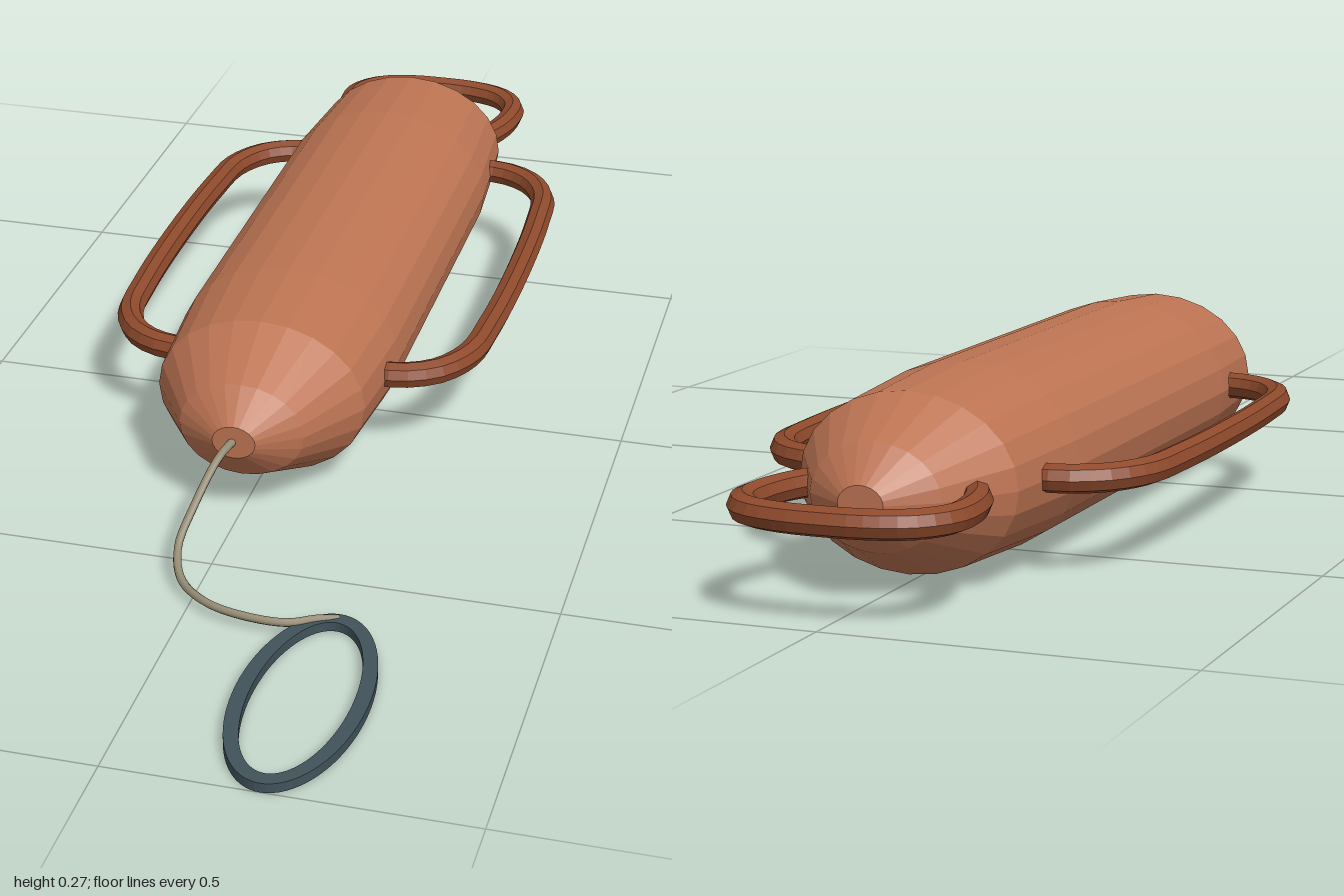
import * as THREE from 'three';

const MID = 0.135; // height of the body axis

const mat = (color, flatShading = true) => new THREE.MeshStandardMaterial({ color, flatShading });

function add(group, name, geometry, material) {
  const mesh = new THREE.Mesh(geometry, material);
  mesh.name = name;
  group.add(mesh);
  return mesh;
}

// smooth tube through points, closed at both ends
function tube(points, radius, segments, sides) {
  const curve = new THREE.CatmullRomCurve3(points.map(p => new THREE.Vector3(...p)));
  return new THREE.TubeGeometry(curve, segments, radius, sides, false);
}

function createBody() {
  // [half width, z] from the rear tip to the front tip
  const profile = [[0, -0.87], [0.032, -0.87], [0.093, -0.825], [0.157, -0.725], [0.17, -0.54],
    [0.17, 0.08], [0.157, 0.24], [0.093, 0.345], [0.032, 0.385], [0, 0.385]];
  const geo = new THREE.LatheGeometry(profile.map(p => new THREE.Vector2(...p)), 24);
  geo.rotateX(Math.PI / 2);
  geo.scale(1, 0.133 / 0.17, 1);
  geo.translate(0, 0.1335, 0);
  // flatten the underside where it rests
  const pos = geo.attributes.position;
  for (let i = 0; i < pos.count; i++) {
    if (pos.getY(i) < 0.006) pos.setY(i, 0.001);
  }
  geo.computeVertexNormals();
  return geo;
}

export function createModel() {
  const model = new THREE.Group();
  model.name = 'rescueBuoy';
  const shell = mat(0xbd7453);
  const grip = mat(0x8f4a2c);
  const cordMat = mat(0x958c74, false);
  const ringMat = mat(0x40535a, false);

  add(model, 'body', createBody(), shell);

  // long grips on both sides
  for (const [name, s] of [['leftHandle', 1], ['rightHandle', -1]]) {
    const pts = [[0.12, 0.125], [0.18, 0.127], [0.232, 0.1], [0.267, 0.04], [0.278, -0.06], [0.283, -0.25],
      [0.278, -0.45], [0.267, -0.55], [0.232, -0.608], [0.18, -0.635], [0.12, -0.633]];
    add(model, name, tube(pts.map(([x, z]) => [s * x, MID, z]), 0.02, 40, 8), grip);
  }

  // loop around the rear tip
  const half = [[0.1, -0.74], [0.132, -0.8], [0.146, -0.86], [0.143, -0.915], [0.112, -0.957], [0.06, -0.976]];
  const loop = [...half, [0, -0.98], ...half.map(([x, z]) => [-x, z]).reverse()];
  add(model, 'rearHandle', tube(loop.map(([x, z]) => [x, MID, z]), 0.02, 36, 8), grip);

  // tow cord falling from the nose to the ring
  add(model, 'cord', tube([[0, 0.135, 0.375], [-0.012, 0.126, 0.42], [-0.03, 0.08, 0.485], [-0.039, 0.042, 0.53],
    [-0.02, 0.021, 0.58], [0.03, 0.018, 0.625], [0.09, 0.017, 0.643], [0.15, 0.016, 0.642],
    [0.185, 0.014, 0.62], [0.213, 0.01, 0.606]], 0.006, 48, 8), cordMat);

  // flat oval ring lying on the ground
  const oval = new THREE.Shape();
  oval.absellipse(0, 0, 0.09, 0.2, 0, Math.PI * 2);
  const hole = new THREE.Path();
  hole.absellipse(0, 0, 0.069, 0.178, 0, Math.PI * 2);
  oval.holes.push(hole);
  const ringGeo = new THREE.ExtrudeGeometry(oval, { depth: 0.014, bevelEnabled: false, curveSegments: 36 });
  ringGeo.rotateX(-Math.PI / 2);
  const ring = add(model, 'towRing', ringGeo, ringMat);
  ring.position.set(0.213, 0, 0.8);

  return model;
}
